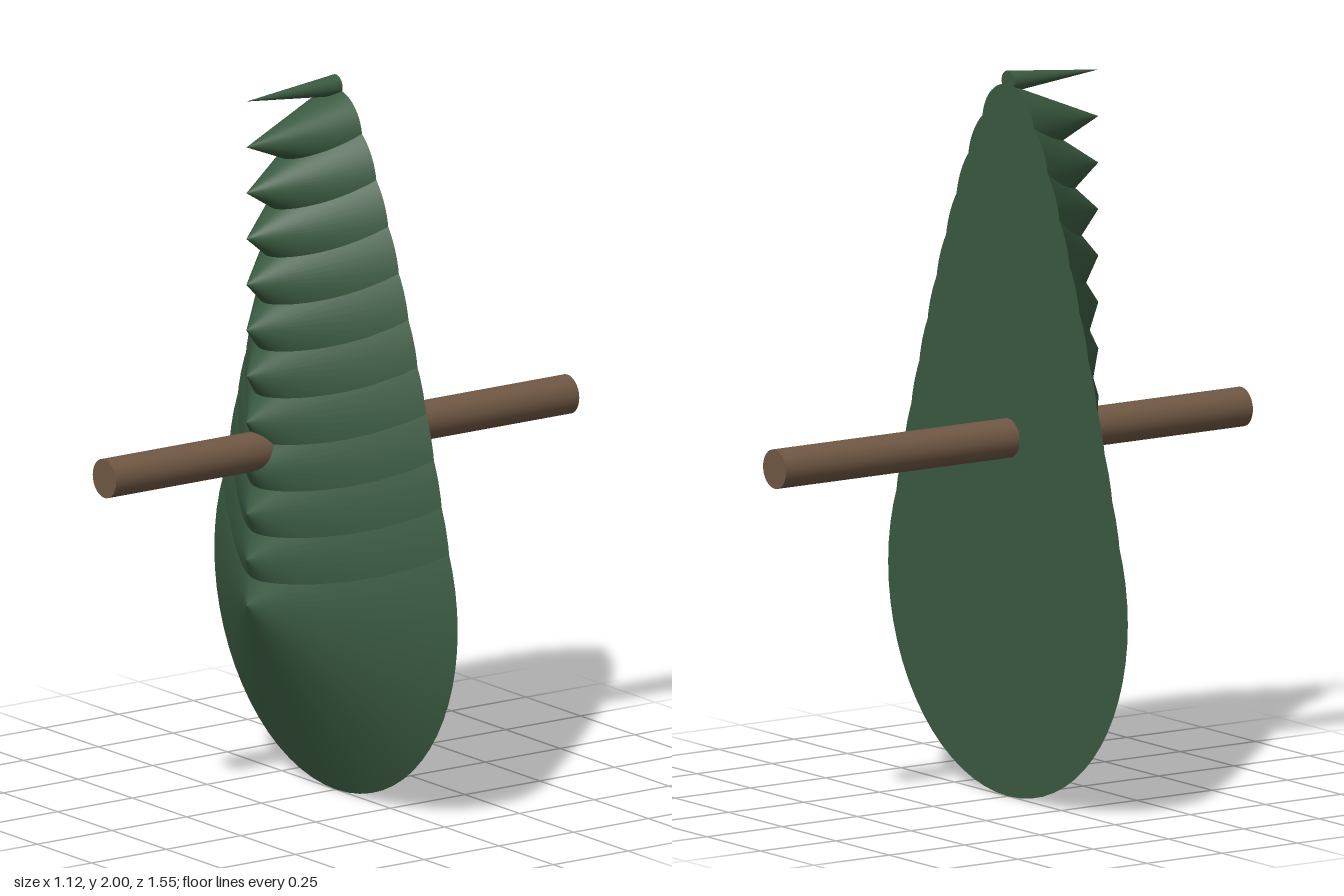
import * as THREE from 'three';

export function createModel() {
  const model = new THREE.Group();
  const green = new THREE.MeshStandardMaterial({ color: 0x3a5a40 });
  const brown = new THREE.MeshStandardMaterial({ color: 0x705844 });

  // Foliage: overlapping cones facing forward, shrinking toward the top
  const foliage = new THREE.Group();
  foliage.name = 'foliage';
  const layers = 12, depth = 0.3, baseRadius = 0.56, tipRadius = 0.03;
  for (let i = 0; i < layers; i++) {
    const t = (layers - 1 - i) / (layers - 1);
    const radius = Math.max(tipRadius, baseRadius * Math.pow(t, 0.64));
    const geometry = new THREE.ConeGeometry(radius, depth, 64);
    geometry.rotateX(Math.PI / 2);
    const cone = new THREE.Mesh(geometry, green);
    cone.name = `foliageCone${i + 1}`;
    cone.position.set(0, baseRadius + (i * (2 - tipRadius - baseRadius)) / (layers - 1), depth / 2);
    foliage.add(cone);
  }
  model.add(foliage);

  // Trunk: a rod running front to back through the foliage
  const trunkGeometry = new THREE.CylinderGeometry(0.054, 0.054, 1.55, 32);
  trunkGeometry.rotateX(Math.PI / 2);
  const trunk = new THREE.Mesh(trunkGeometry, brown);
  trunk.name = 'trunk';
  trunk.position.y = 0.988;
  model.add(trunk);

  return model;
}
